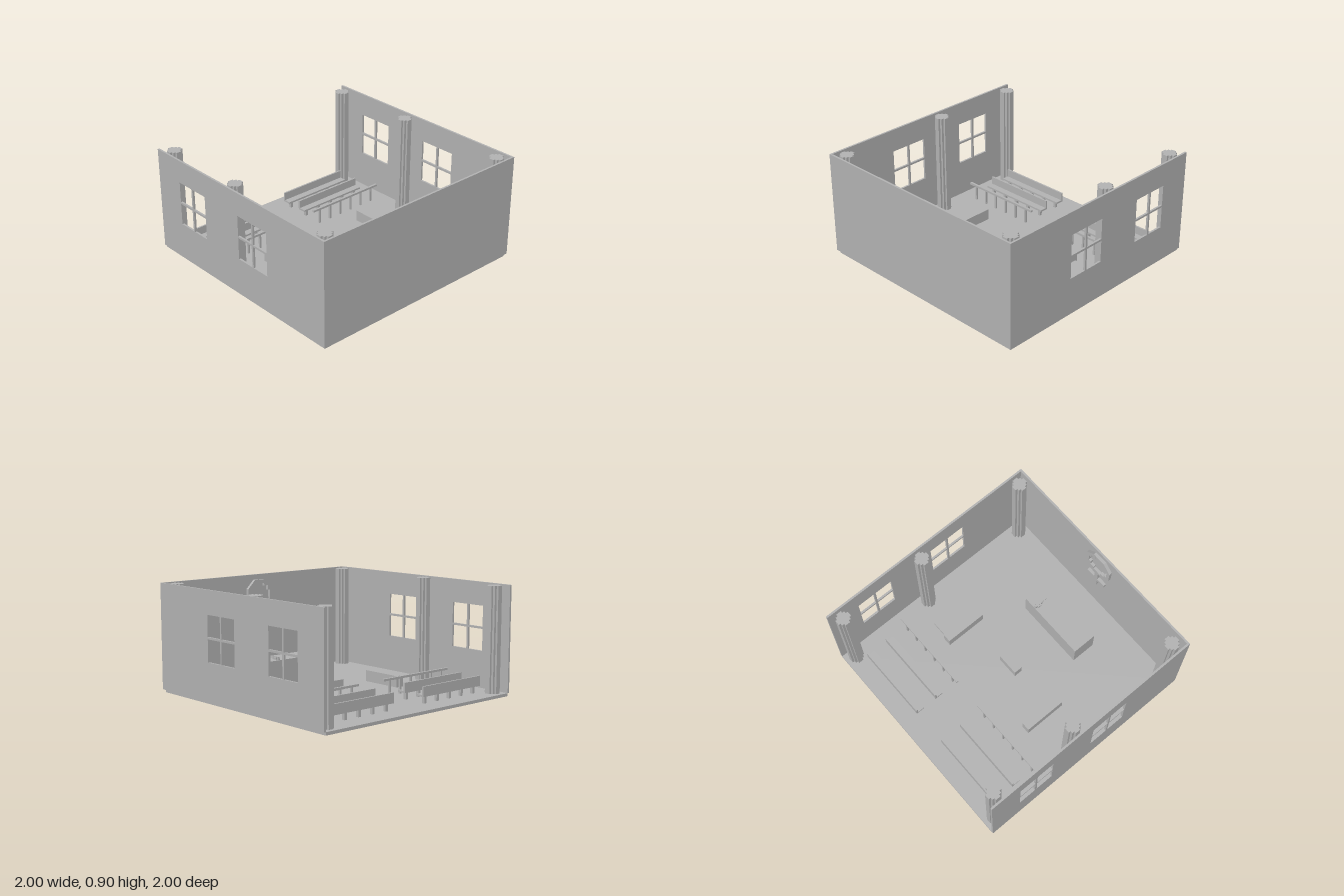
import * as THREE from 'three';

export function createModel() {
  const root = new THREE.Group();
  root.name = 'chapelRoom';
  const grey = new THREE.MeshStandardMaterial({ color: 0xb2b2b2 });
  grey.name = 'stone grey';

  const add = (name, geometry, parent = root) => {
    const mesh = new THREE.Mesh(geometry, grey);
    mesh.name = name;
    parent.add(mesh);
    return mesh;
  };
  // Box given by its limits on each axis
  const block = (name, x0, x1, y0, y1, z0, z1, parent = root) => {
    const mesh = add(name, new THREE.BoxGeometry(x1 - x0, y1 - y0, z1 - z0), parent);
    mesh.position.set((x0 + x1) / 2, (y0 + y1) / 2, (z0 + z1) / 2);
    return mesh;
  };
  const rectPath = (path, x0, x1, y0, y1) =>
    path.moveTo(x0, y0).lineTo(x1, y0).lineTo(x1, y1).lineTo(x0, y1).closePath();
  const extrude = (shape, depth) =>
    new THREE.ExtrudeGeometry(shape, { depth, bevelEnabled: false });
  // Closed outline made by turning a quarter outline four times
  const fourFold = (quarter) => {
    const points = [];
    for (let k = 0; k < 4; k++) {
      const c = [1, 0, -1, 0][k], s = [0, 1, 0, -1][k];
      quarter.forEach(([x, y]) => points.push(new THREE.Vector2(c * x - s * y, s * x + c * y)));
    }
    return points;
  };

  const floorTop = 0.025, wallTop = 0.905, thick = 0.017;

  // Floor and plain front wall
  block('floor', -0.983, 0.983, 0, floorTop, -1, 0.983);
  block('frontWall', -1 + thick, 1 - thick, floorTop, wallTop, 1 - thick, 1);

  // Side walls, each with two four-pane windows
  const wall = new THREE.Shape();
  rectPath(wall, -1, 1, floorTop, wallTop);
  for (const [z0, z1] of [[0.02, 0.183], [0.2, 0.36], [-0.72, -0.565], [-0.547, -0.39]]) {
    for (const [y0, y1] of [[0.335, 0.518], [0.535, 0.71]]) {
      const pane = new THREE.Path();
      rectPath(pane, z0, z1, y0, y1);
      wall.holes.push(pane);
    }
  }
  const wallGeometry = extrude(wall, thick);
  for (const [name, x] of [['leftWall', 1], ['rightWall', -1 + thick]]) {
    const mesh = add(name, wallGeometry);
    mesh.rotation.y = -Math.PI / 2;
    mesh.position.x = x;
  }

  // Columns with a stepped round section
  const columnShape = new THREE.Shape(fourFold([
    [0.06, -0.022], [0.06, 0.022], [0.042, 0.022], [0.042, 0.042], [0.022, 0.042],
  ]));
  const columnGeometry = extrude(columnShape, 0.9 - floorTop);
  for (const x of [-0.903, 0.903]) {
    for (const z of [-0.905, -0.12, 0.9]) {
      const column = add('column', columnGeometry);
      column.rotation.x = -Math.PI / 2;
      column.position.set(x, floorTop, z);
    }
  }

  for (const side of [-1, 1]) {
    const mid = side * 0.49;
    // Two rows of benches
    for (const z of [-0.845, -0.645]) {
      const bench = new THREE.Group();
      bench.name = 'bench';
      root.add(bench);
      block('benchBack', mid - 0.33, mid + 0.33, 0.085, 0.168, z, z + 0.015, bench);
      block('benchSeat', mid - 0.33, mid + 0.33, 0.085, 0.1, z + 0.015, z + 0.075, bench);
      for (let i = 0; i < 5; i++) {
        const x = mid - 0.28 + i * 0.14;
        block('benchLeg', x - 0.012, x + 0.012, floorTop, 0.085, z + 0.025, z + 0.05, bench);
      }
    }
    // Railing with posts
    const railing = new THREE.Group();
    railing.name = 'railing';
    root.add(railing);
    const centre = side * 0.508;
    block('handrail', centre - 0.372, centre + 0.372, 0.15, 0.168, -0.435, -0.415, railing);
    for (let i = 0; i < 6; i++) {
      const x = centre - 0.3 + i * 0.12;
      block('railingPost', x - 0.008, x + 0.008, floorTop, 0.15, -0.433, -0.417, railing);
    }
  }

  // Side blocks, low step and centre stand
  block('rightBlock', -0.55, -0.475, floorTop, 0.12, -0.24, 0.13);
  block('leftBlock', 0.47, 0.545, floorTop, 0.12, -0.24, 0.13);
  block('lowStep', 0.545, 0.7, floorTop, 0.05, -0.22, 0.11);
  block('centreStand', -0.1, 0.095, floorTop, 0.11, 0, 0.075);

  // Altar table with a small mallet on top
  block('altar', -0.315, 0.31, floorTop, 0.24, 0.47, 0.685);
  const mallet = new THREE.Group();
  mallet.name = 'mallet';
  root.add(mallet);
  block('malletCore', 0.187, 0.203, 0.24, 0.268, 0.475, 0.55, mallet);
  block('malletHead', 0.175, 0.215, 0.246, 0.262, 0.492, 0.53, mallet);
  block('malletHandle', 0.192, 0.198, 0.25, 0.258, 0.55, 0.602, mallet);

  // Ring and cross on the inner face of the front wall
  const emblem = new THREE.Group();
  emblem.name = 'wallOrnament';
  root.add(emblem);
  const ring = new THREE.Shape(fourFold([[0.135, -0.06], [0.135, 0.06], [0.06, 0.135]].slice(0, 2)));
  ring.holes.push(new THREE.Path(fourFold([
    [0.104, -0.04], [0.104, 0.04], [0.08, 0.04], [0.08, 0.08], [0.04, 0.08],
  ])));
  const z0 = 0.957, z1 = 1 - thick;
  add('ornamentRing', extrude(ring, z1 - z0), emblem).position.set(0, 0.725, z0);
  block('ornamentStem', -0.018, 0.018, 0.385, 0.592, z0, z1, emblem);
  block('ornamentBar', -0.1, 0.1, 0.465, 0.5, z0, z1, emblem);

  return root;
}
